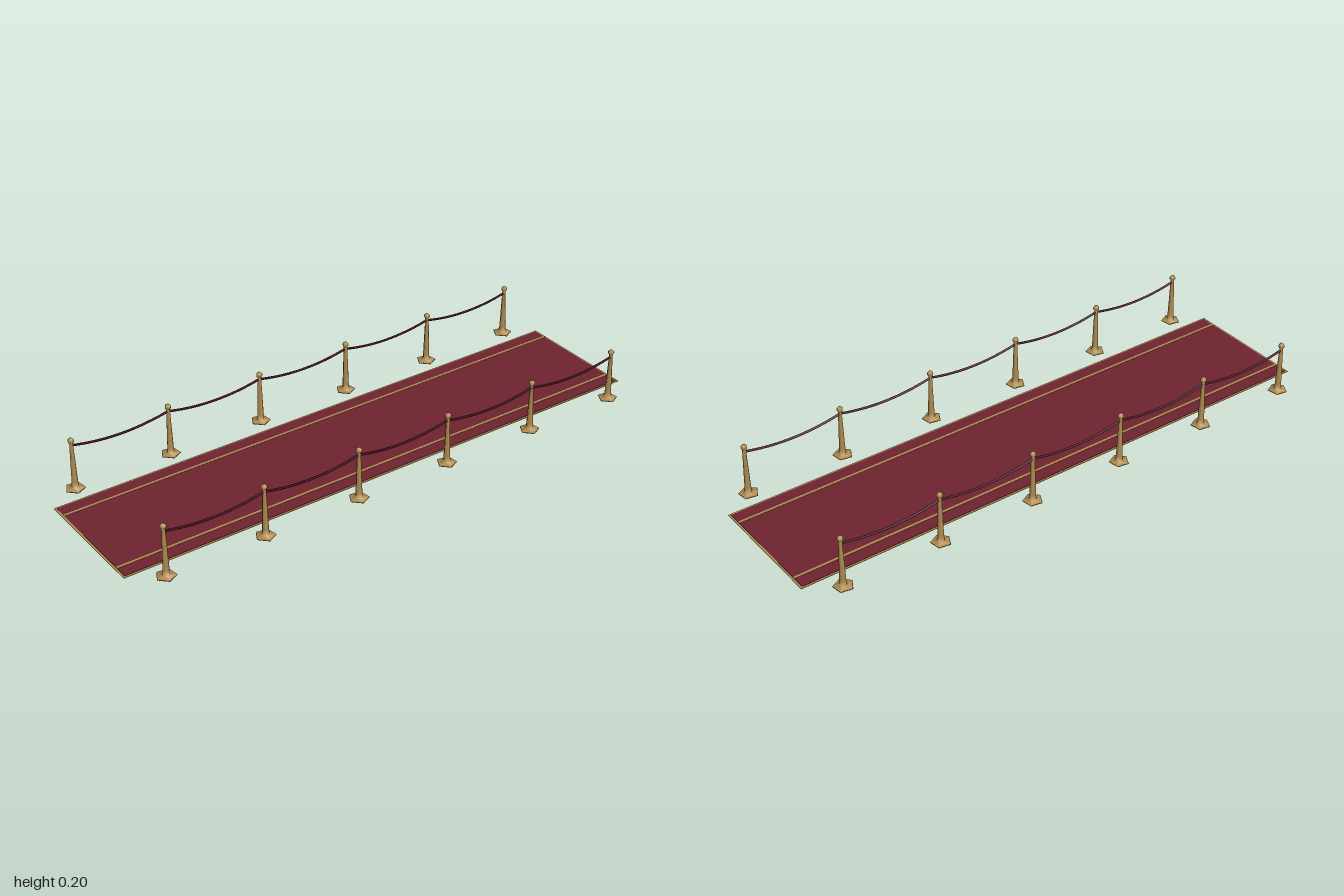
import * as THREE from 'three';

const gold = new THREE.MeshStandardMaterial({ color: 0xb48f52 });
const red = new THREE.MeshStandardMaterial({ color: 0x6e2430 });
const ropeRed = new THREE.MeshStandardMaterial({ color: 0x4e1424 });

const POST_X = 0.288, SPACING = 0.356, POSTS = 6;
const postZ = (i) => (i - (POSTS - 1) / 2) * SPACING;

function add(parent, name, geometry, material, x = 0, y = 0, z = 0) {
  const mesh = new THREE.Mesh(geometry, material);
  mesh.name = name;
  mesh.position.set(x, y, z);
  parent.add(mesh);
  return mesh;
}

// Flat runner: gold backing showing as a thin border, red pile and two stripes
function createCarpet() {
  const carpet = new THREE.Group();
  carpet.name = 'carpet';
  add(carpet, 'carpetBacking', new THREE.BoxGeometry(0.45, 0.002, 2), gold, 0, 0.003, 0);
  add(carpet, 'carpetPile', new THREE.BoxGeometry(0.436, 0.002, 1.986), red, 0, 0.0045, 0);
  for (const side of [-1, 1]) {
    add(carpet, 'carpetStripe', new THREE.BoxGeometry(0.009, 0.001, 1.986), gold, side * 0.169, 0.006, 0);
  }
  return carpet;
}

// Five-sided post: faceted foot, tapering shaft and a small knob
const postProfile = [
  [0, 0], [0.022, 0], [0.035, 0.004], [0.033, 0.007], [0.013, 0.009],
  [0.0115, 0.03], [0.0065, 0.176], [0.011, 0.182], [0.011, 0.188], [0.006, 0.194], [0, 0.197],
].map(([r, y]) => new THREE.Vector2(r, y));
const postGeometry = new THREE.LatheGeometry(postProfile, 5);

// Rope sagging between two neighbouring posts
const ropePoints = [];
for (let i = 0; i <= 8; i++) {
  const t = i / 8;
  ropePoints.push(new THREE.Vector3(0, 0.168 - 0.021 * 4 * t * (1 - t), (t - 0.5) * SPACING));
}
const ropeGeometry = new THREE.TubeGeometry(new THREE.CatmullRomCurve3(ropePoints), 12, 0.0042, 5);

export function createModel() {
  const model = new THREE.Group();
  model.name = 'ropedCarpet';
  model.add(createCarpet());
  for (const side of [-1, 1]) {
    const barrier = new THREE.Group();
    barrier.name = side > 0 ? 'leftBarrier' : 'rightBarrier';
    for (let i = 0; i < POSTS; i++) {
      const post = add(barrier, 'post', postGeometry, gold, side * POST_X, 0, postZ(i));
      post.rotation.y = 0.15;
      if (i < POSTS - 1) add(barrier, 'rope', ropeGeometry, ropeRed, side * POST_X, 0, postZ(i) + SPACING / 2);
    }
    model.add(barrier);
  }
  return model;
}
